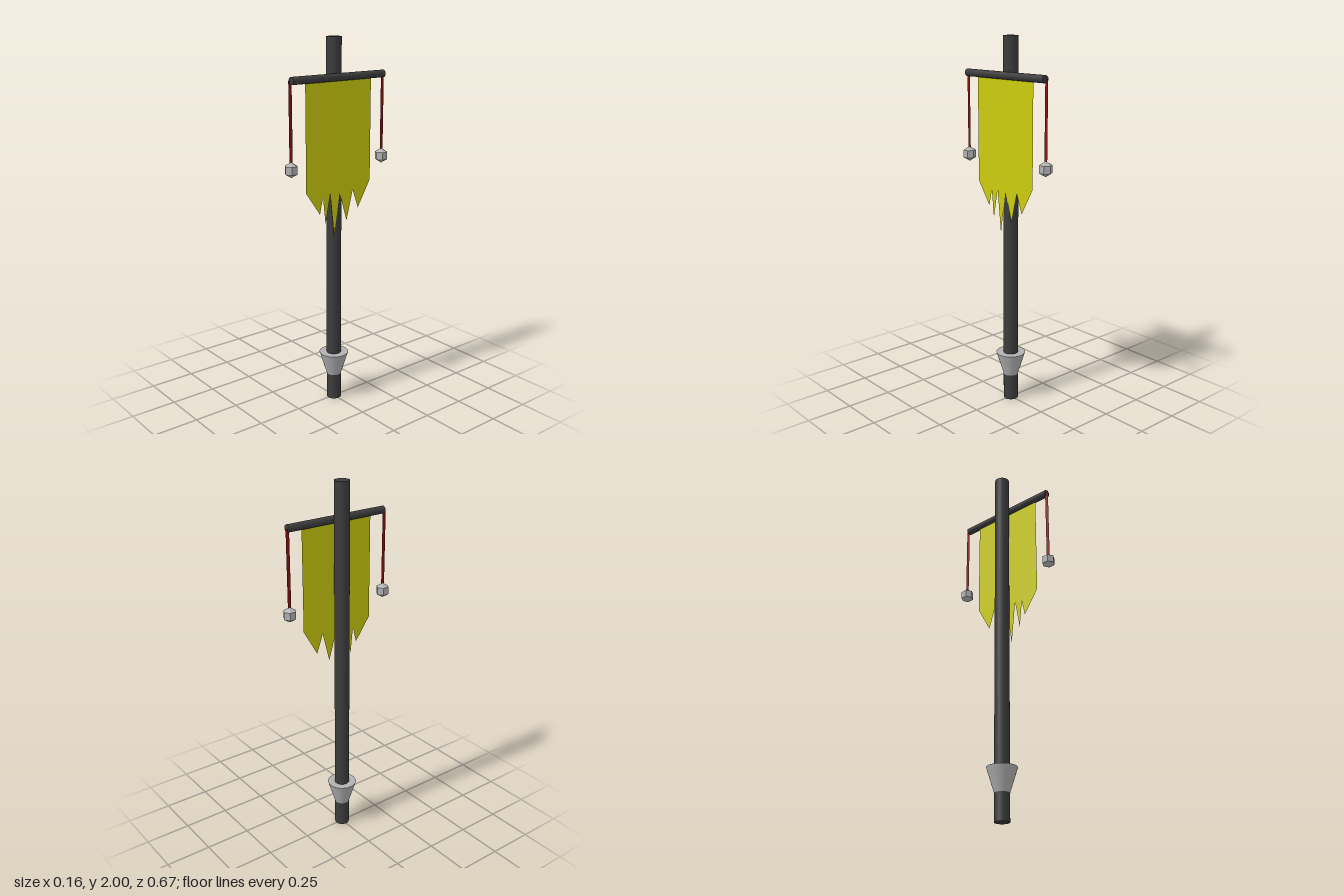
import * as THREE from 'three';

export function createModel() {
  const model = new THREE.Group();
  model.name = 'bannerPole';

  const mat = (name, color, extra = {}) => {
    const m = new THREE.MeshStandardMaterial({ color, ...extra });
    m.name = name;
    return m;
  };
  const darkWood = mat('darkWood', 0x3c3c3c);
  const metal = mat('metal', 0xb2b2b2);
  const facetedMetal = metal;
  const cloth = mat('yellowCloth', 0xcccc0e, { side: THREE.DoubleSide });
  const cord = mat('redCord', 0x8a1010, { side: THREE.DoubleSide });

  const add = (name, geometry, material, x, y, z) => {
    const mesh = new THREE.Mesh(geometry, material);
    mesh.name = name;
    mesh.position.set(x, y, z);
    model.add(mesh);
    return mesh;
  };

  // Upright pole and the flared collar near its foot
  add('pole', new THREE.CylinderGeometry(0.04, 0.04, 2, 32), darkWood, 0, 1, 0);
  add('collar', new THREE.CylinderGeometry(0.08, 0.04, 0.13, 32), metal, 0, 0.21, 0);

  // Crossbar fixed to the side of the pole
  add('crossbar', new THREE.CylinderGeometry(0.02, 0.02, 0.6, 24).rotateX(Math.PI / 2),
    darkWood, 0.042, 1.8, 0);

  // Torn banner: outline as [z, y], hung below the bar
  const outline = [
    [0.215, 1.8], [0.215, 1.225], [0.127, 1.1], [0.106, 1.19], [0.09, 1.04],
    [0.058, 1.2], [0.032, 0.963], [-0.005, 1.2], [-0.053, 1.037],
    [-0.095, 1.2], [-0.132, 1.097], [-0.215, 1.24], [-0.215, 1.8],
  ];
  const shape = new THREE.Shape(outline.map(([z, y]) => new THREE.Vector2(-z, y)));
  add('banner', new THREE.ShapeGeometry(shape).rotateY(Math.PI / 2), cloth, 0.042, 0, 0);

  // Flat cords with a faceted weight at each end of the bar
  const weightGeometry = new THREE.SphereGeometry(0.04, 6, 3).rotateY(Math.PI / 6).toNonIndexed();
  weightGeometry.computeVertexNormals();
  for (const [side, s] of [['front', 1], ['back', -1]]) {
    add(side + 'Cord', new THREE.PlaneGeometry(0.02, 0.42).rotateY(Math.PI / 2),
      cord, 0.035, 1.59, 0.302 * s);
    add(side + 'Weight', weightGeometry, facetedMetal, 0.035, 1.36, 0.302 * s);
  }

  return model;
}
